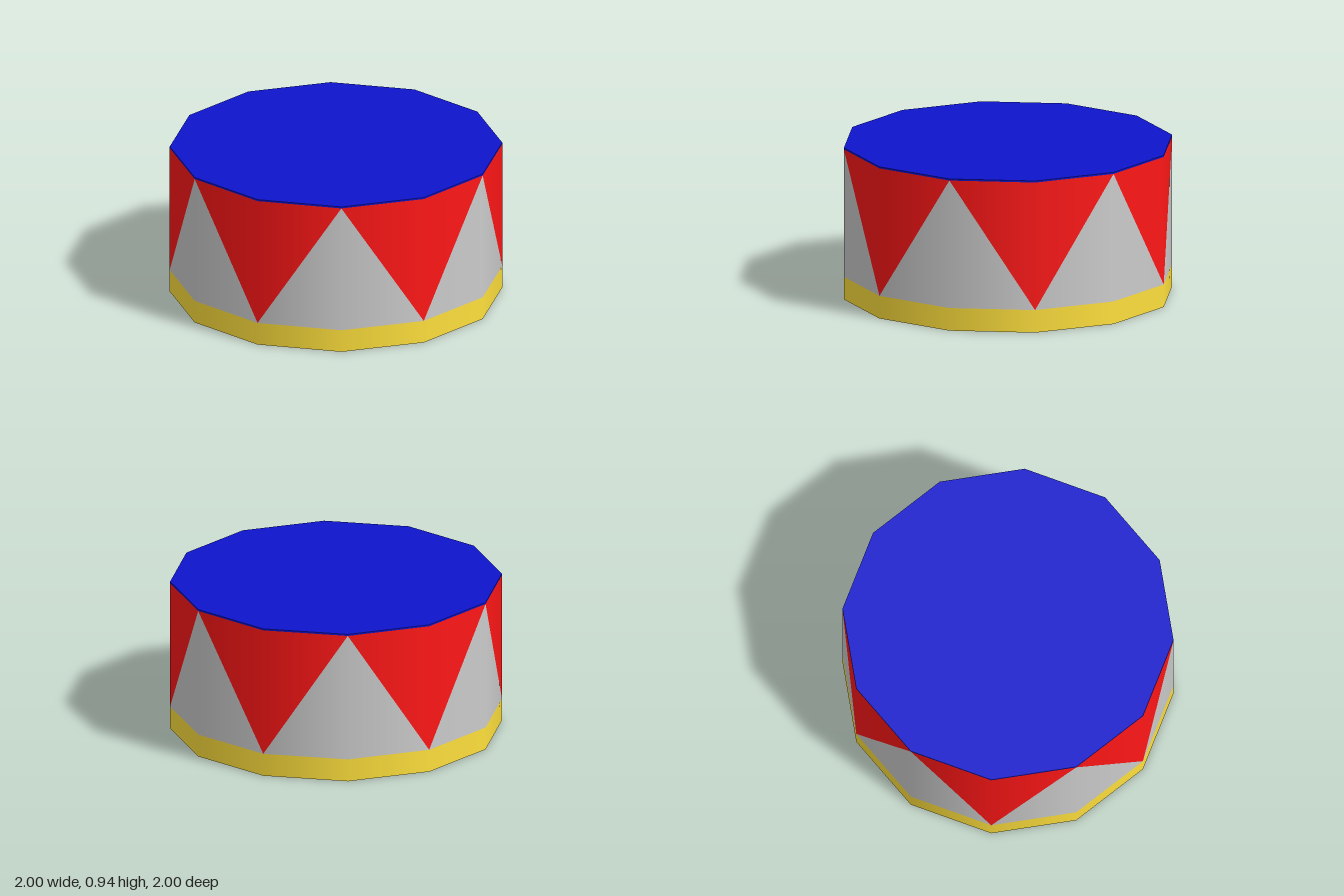
import * as THREE from 'three';

const SIDES = 12, RADIUS = 1;
const BAND_TOP = 0.14, RIM_BOTTOM = 0.93, HEIGHT = 0.94;

const red = new THREE.MeshStandardMaterial({ color: 0xff1616 });
const grey = new THREE.MeshStandardMaterial({ color: 0xcccccc });
const yellow = new THREE.MeshStandardMaterial({ color: 0xffe03c });
const blue = new THREE.MeshStandardMaterial({ color: 0x0d14cc });

function add(group, name, geometry, material, y = 0) {
  const mesh = new THREE.Mesh(geometry, material);
  mesh.name = name;
  mesh.position.y = y;
  group.add(mesh);
  return mesh;
}

// Open ring of wall with smooth sides
function ring(bottom, top) {
  return new THREE.CylinderGeometry(RADIUS, RADIUS, top - bottom, SIDES, 1, true)
    .translate(0, (top + bottom) / 2, 0);
}

// Flat twelve-sided disc, facing up or down
function disc(up) {
  return new THREE.CircleGeometry(RADIUS, SIDES).rotateX(up ? -Math.PI / 2 : Math.PI / 2);
}

// Large triangles around the wall: a tip on every second corner, a base spanning two sides.
function wallTriangles(firstCorner, tipY, baseY) {
  const positions = [], normals = [];
  const put = (corner, y) => {
    const a = (corner / SIDES) * Math.PI * 2;
    positions.push(RADIUS * Math.sin(a), y, RADIUS * Math.cos(a));
    normals.push(Math.sin(a), 0, Math.cos(a));
  };
  for (let c = firstCorner; c < SIDES + firstCorner; c += 2) {
    for (const side of [-1, 1]) {
      // Keep each half counter-clockwise seen from outside
      const outward = (side > 0) === (tipY > baseY);
      const corners = [[c, tipY], [c, baseY], [c + side, baseY]];
      if (!outward) corners.reverse();
      corners.forEach(([corner, y]) => put(corner, y));
    }
  }
  const g = new THREE.BufferGeometry();
  g.setAttribute('position', new THREE.Float32BufferAttribute(positions, 3));
  g.setAttribute('normal', new THREE.Float32BufferAttribute(normals, 3));
  return g;
}

export function createModel() {
  const model = new THREE.Group();
  model.name = 'drumPedestal';

  // Base
  add(model, 'baseBand', ring(0, BAND_TOP), yellow);
  add(model, 'underside', disc(false), yellow);

  // Zigzag wall
  add(model, 'redPennants', wallTriangles(0, BAND_TOP, RIM_BOTTOM), red);
  add(model, 'greyPeaks', wallTriangles(1, RIM_BOTTOM, BAND_TOP), grey);

  // Top
  add(model, 'topRim', ring(RIM_BOTTOM, HEIGHT), blue);
  add(model, 'topSurface', disc(true), blue, HEIGHT);

  return model;
}
